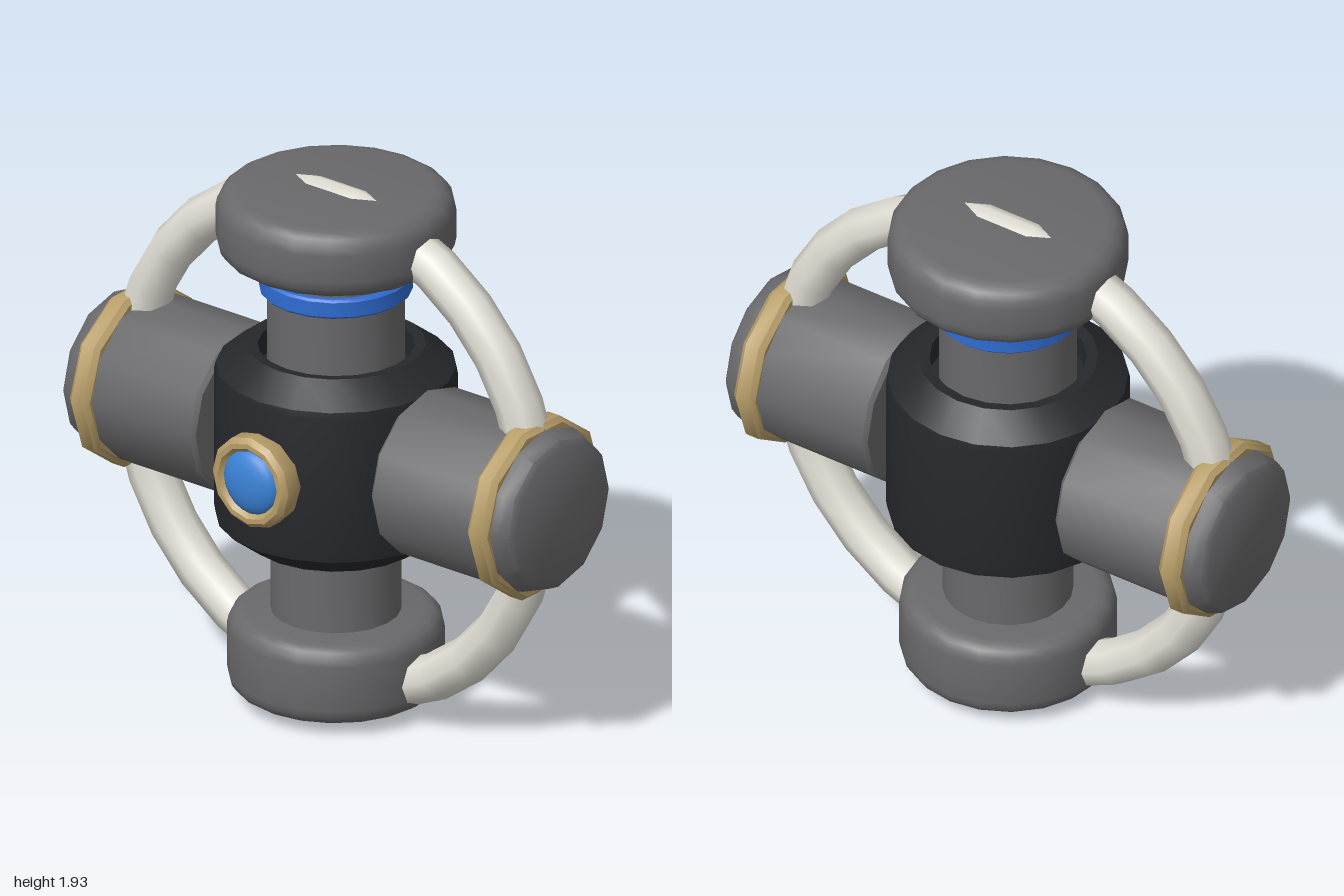
import * as THREE from 'three';
import { toCreasedNormals } from 'three/addons/utils/BufferGeometryUtils.js';

const mat = (color) => new THREE.MeshStandardMaterial({ color });
const grey = mat(0x69696b), black = mat(0x26282c), white = mat(0xdedcd2);
const gold = mat(0xb79d68), blue = mat(0x2f6cd2), gemBlue = mat(0x3a82d6);
const CY = 0.97, CZ = -0.04;

// Turned part from [radius, height] pairs listed bottom to top
function turned(name, profile, sides, material, crease = 0.65) {
  const pts = profile.map(([r, y]) => new THREE.Vector2(r, y));
  const geo = toCreasedNormals(new THREE.LatheGeometry(pts, sides), crease);
  const mesh = new THREE.Mesh(geo, material);
  mesh.name = name;
  return mesh;
}

// Disc profile with rounded rims
function roundedDisc(r, y0, y1, c) {
  const p = [[0, y0]];
  for (let i = 0; i <= 4; i++) {
    const a = (i / 4) * Math.PI / 2;
    p.push([r - c + c * Math.sin(a), y0 + c - c * Math.cos(a)]);
  }
  for (let i = 0; i <= 4; i++) {
    const a = (i / 4) * Math.PI / 2;
    p.push([r - c + c * Math.cos(a), y1 - c + c * Math.sin(a)]);
  }
  p.push([0, y1]);
  return p;
}

// Closed band with bevelled outer edges
function band(inner, outer, y0, y1, b) {
  return [[inner, y0], [outer - b, y0], [outer, y0 + b], [outer, y1 - b],
    [outer - b, y1], [inner, y1], [inner, y0]];
}

export function createModel() {
  const model = new THREE.Group();
  model.name = 'crossDevice';

  // Upright parts share one vertical axis
  const upright = new THREE.Group();
  upright.name = 'uprightAxis';
  upright.position.z = CZ;
  upright.add(
    turned('coreDrum', [[0.23, 0.7], [0.27, 0.7], [0.27, 0.615], [0.31, 0.61], [0.415, 0.69],
      [0.42, 0.72], [0.42, 1.23], [0.415, 1.255], [0.31, 1.335], [0.27, 1.33], [0.27, 1.24], [0.23, 1.24]], 20, black),
    turned('upperColumn', [[0.238, 1.15], [0.238, 1.72]], 20, grey),
    turned('lowerColumn', [[0.226, 0.3], [0.226, 0.8]], 20, grey),
    turned('columnBand', band(0.23, 0.265, 1.54, 1.61, 0.008), 20, blue),
    turned('upperDisc', roundedDisc(0.415, 1.67, 1.92, 0.075), 20, grey),
    turned('lowerDisc', roundedDisc(0.375, 0.045, 0.34, 0.065), 20, grey),
  );
  model.add(upright);

  // Hoop tying the four ends together
  const hoop = new THREE.Mesh(new THREE.TorusGeometry(0.887, 0.085, 8, 30), white);
  hoop.name = 'hoop';
  hoop.position.set(0, CY, CZ);
  model.add(hoop);

  // Side arms with banded ends
  for (const side of [1, -1]) {
    const arm = new THREE.Group();
    arm.name = side > 0 ? 'leftArm' : 'rightArm';
    arm.add(
      turned('armBarrel', [[0, 0.39], [0.285, 0.39], [0.3, 0.405], [0.3, 0.92],
        [0.292, 0.95], [0.275, 0.985], [0.25, 1], [0, 1]], 12, grey),
      turned('armBand', band(0.27, 0.33, 0.837, 0.925, 0.018), 10, gold),
    );
    arm.rotation.z = -side * Math.PI / 2;
    arm.position.set(0, CY, CZ);
    model.add(arm);
  }

  // Front lens in its bezel
  const lens = new THREE.Group();
  lens.name = 'frontLens';
  const dome = [[0.125, 0.4]];
  for (let i = 0; i <= 6; i++) {
    const a = (i / 6) * Math.PI / 2;
    dome.push([0.12 * Math.cos(a), 0.415 + 0.05 * Math.sin(a)]);
  }
  lens.add(
    turned('bezel', [[0.155, 0.34], [0.168, 0.37], [0.168, 0.425], [0.15, 0.443],
      [0.132, 0.443], [0.115, 0.425], [0.115, 0.34]], 12, gold),
    turned('lensDome', dome, 20, gemBlue),
  );
  lens.rotation.x = Math.PI / 2;
  lens.position.y = CY;
  model.add(lens);

  return model;
}
